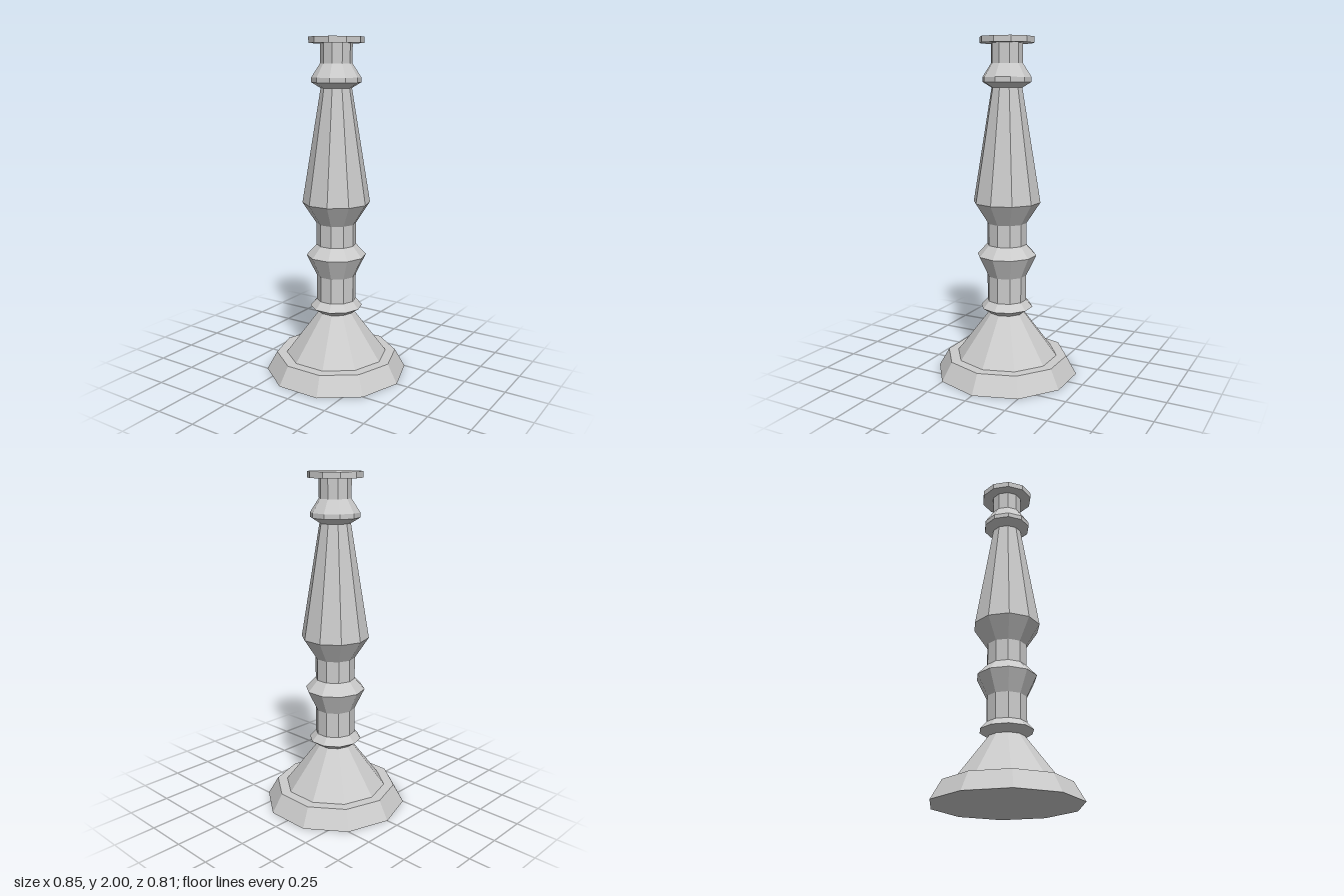
import * as THREE from 'three';

const SIDES = 10;
const material = new THREE.MeshStandardMaterial({ color: 0xcccccc, flatShading: true });

// Faceted turned section from [radius, height] pairs, listed bottom to top
function turned(name, profile) {
  const points = profile.map(([r, y]) => new THREE.Vector2(r, y));
  // Starting at a quarter turn puts a corner on +x and flat facets on +z and -z
  const geometry = new THREE.LatheGeometry(points, SIDES, Math.PI / 2).toNonIndexed();
  geometry.computeVertexNormals();
  const mesh = new THREE.Mesh(geometry, material);
  mesh.name = name;
  return mesh;
}

export function createModel() {
  const group = new THREE.Group();
  group.name = 'candlestick';
  const shaft = 0.118;
  const neck = 0.093;

  group.add(
    // Closed foot with a flat ledge
    turned('foot', [[0, 0], [0.427, 0], [0.365, 0.11], [0.305, 0.11]]),
    turned('flaredBase', [[0.305, 0.11], [0.105, 0.375]]),
    turned('lowerRing', [[0.105, 0.375], [0.157, 0.41], [shaft, 0.453]]),
    // Stem with a knob between two straight lengths
    turned('lowerShaft', [[shaft, 0.453], [shaft, 0.605]]),
    turned('knob', [[shaft, 0.605], [0.178, 0.73], [shaft, 0.795]]),
    turned('upperShaft', [[shaft, 0.795], [shaft, 0.925]]),
    // Long tapering body
    turned('taperedBody', [[shaft, 0.925], [0.2, 1.05], [0.09, 1.715]]),
    turned('upperRing', [[0.09, 1.715], [0.143, 1.747], [0.143, 1.775], [neck, 1.852]]),
    turned('neck', [[neck, 1.852], [neck, 1.965]]),
    // Closed disc on top
    turned('topPlate', [[neck, 1.965], [0.158, 1.965], [0.158, 2], [0, 2]])
  );
  return group;
}
